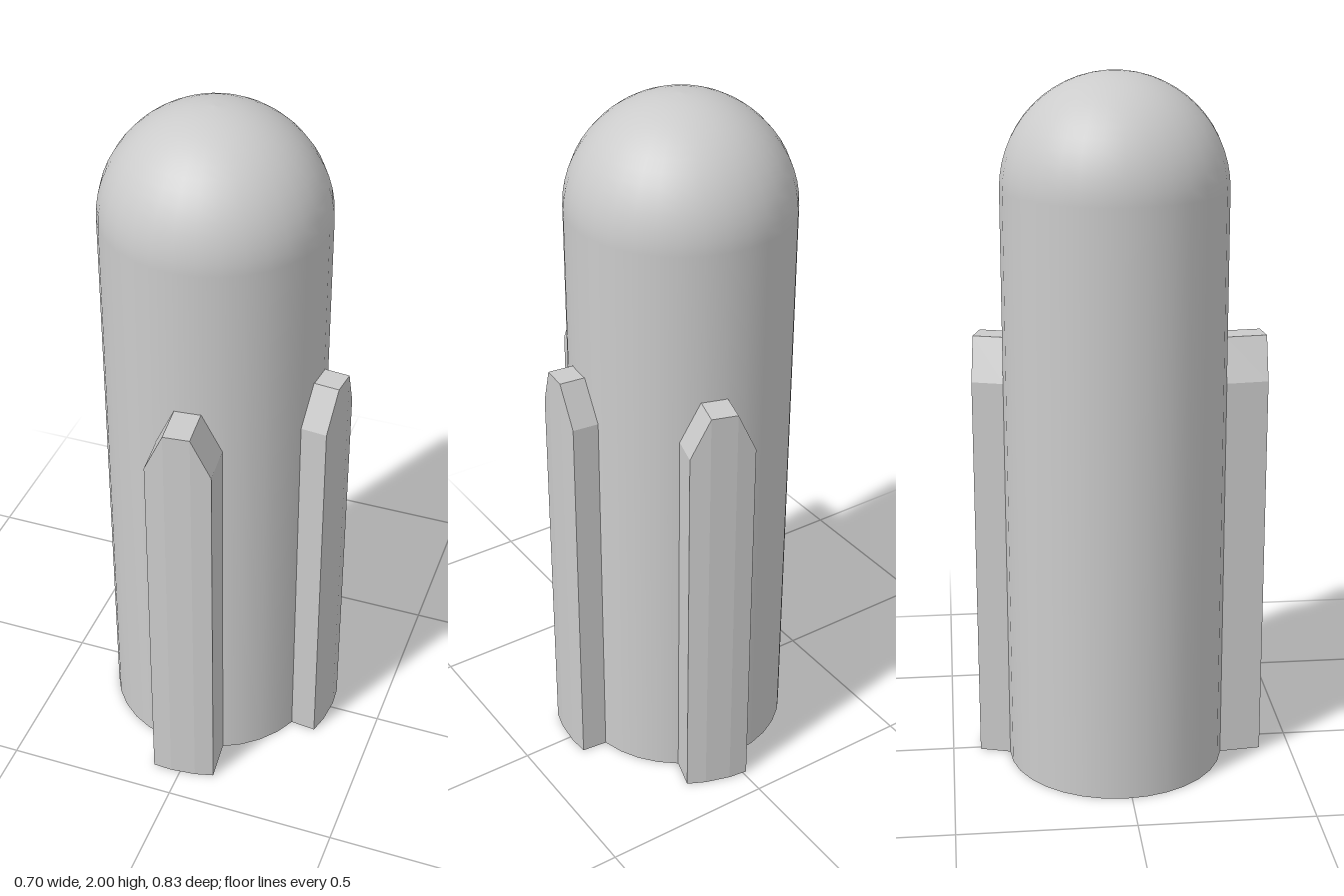
import * as THREE from 'three';

const RADIUS = 0.314;
const CENTRE = new THREE.Vector3(-0.036, 0, -0.018);

// Upright fin: inner face hugs the body, outer face bends round the axis, top is chamfered.
function makeFin(outerRadius, angleDeg, name, material) {
  const columns = [-0.092, -0.037, 0.037, 0.092];
  const tops = [1.14, 1.26, 1.26, 1.14];
  const geometry = new THREE.BoxGeometry(1, 1, 1, 3, 1, 1);
  const p = geometry.attributes.position;
  for (let i = 0; i < p.count; i++) {
    const c = Math.round((p.getX(i) + 0.5) * 3);
    const t = columns[c];
    const r = p.getZ(i) > 0 ? outerRadius : RADIUS - 0.002;
    p.setXYZ(i, t, p.getY(i) > 0 ? tops[c] : 0, Math.sqrt(r * r - t * t));
  }
  geometry.computeVertexNormals();
  const fin = new THREE.Mesh(geometry, material);
  fin.name = name;
  fin.rotation.y = THREE.MathUtils.degToRad(angleDeg);
  return fin;
}

export function createModel() {
  const model = new THREE.Group();
  model.name = 'domedCylinder';
  const smooth = new THREE.MeshStandardMaterial({ color: 0xcccccc, side: THREE.DoubleSide });
  const faceted = new THREE.MeshStandardMaterial({ color: 0xcccccc, flatShading: true });

  // Hollow body, open at the bottom, with a rounded dome
  const profile = [new THREE.Vector2(RADIUS, 0)];
  const steps = 14;
  for (let i = 0; i <= steps; i++) {
    const a = (i / steps) * Math.PI / 2;
    profile.push(new THREE.Vector2(RADIUS * Math.cos(a), 2 - RADIUS + RADIUS * Math.sin(a)));
  }
  profile[steps + 1].x = 0;
  const body = new THREE.Mesh(new THREE.LatheGeometry(profile, 32), smooth);
  body.name = 'body';
  model.add(body);

  // Three fins of different depth around the body
  model.add(makeFin(0.431, 6, 'frontFin', faceted));
  model.add(makeFin(0.386, 84.4, 'leftFin', faceted));
  model.add(makeFin(0.402, 163.2, 'backFin', faceted));

  for (const part of model.children) part.position.copy(CENTRE);
  return model;
}
